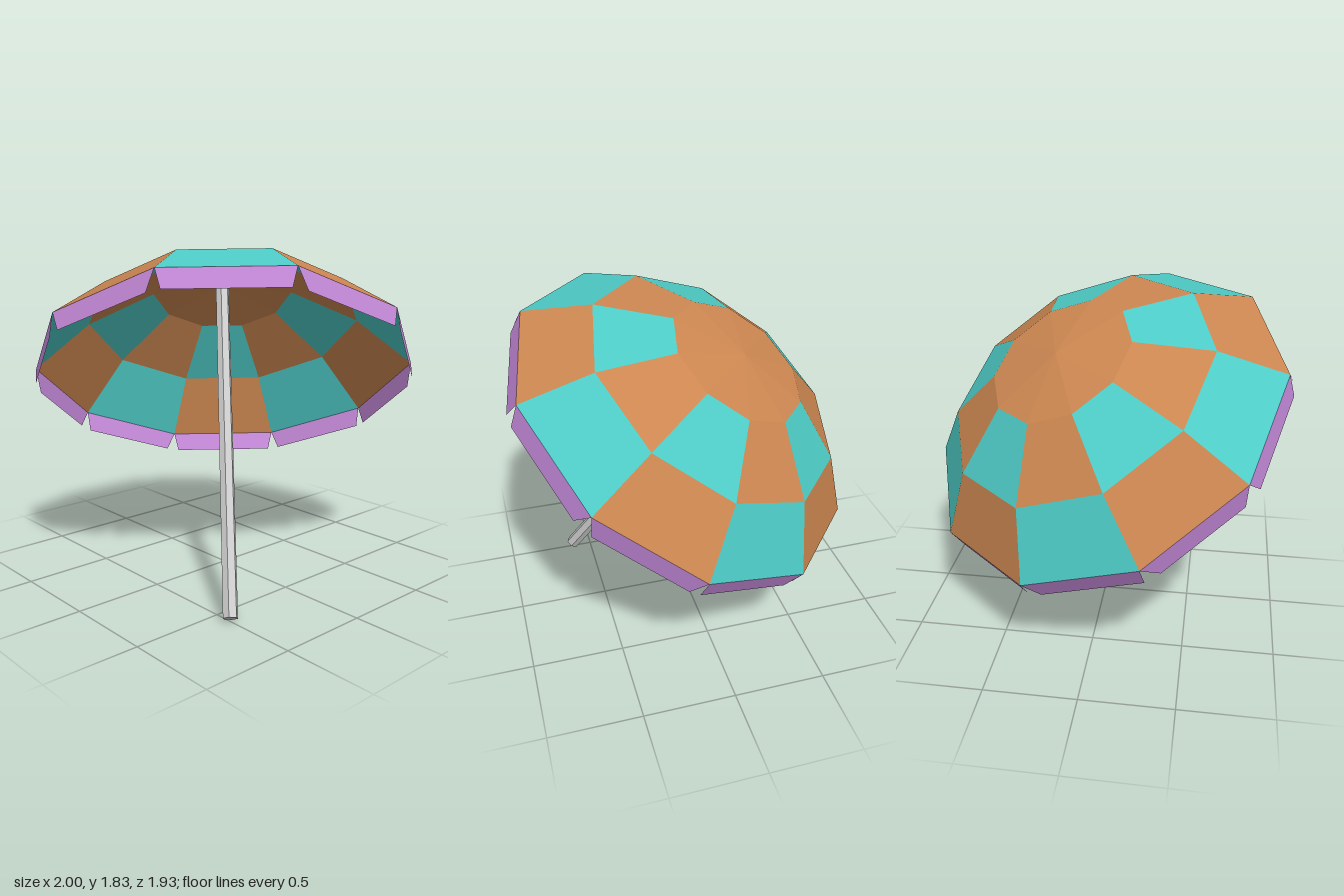
import * as THREE from 'three';

const SIDES = 10;
// canopy rings from rim to crown: [radius, height along the pole axis]
const RINGS = [[1.06, 0], [0.775, 0.283], [0.405, 0.48], [0, 0.535]];
const FLAP_DROP = 0.116;
// how far each flap's lower corners are cut in: [start, end]
const FLAP_CUTS = [
  [0.055, 0.03], [0.045, 0.057], [0.065, 0.04], [0.025, 0.045], [0.028, 0.027],
  [0.055, 0.025], [0.07, 0.07], [0.05, 0.045], [0.043, 0.05], [0.028, 0.03],
];

const material = (color) =>
  new THREE.MeshStandardMaterial({ color, flatShading: true, side: THREE.DoubleSide });

// point on a canopy ring, counter-clockwise seen from above
function ringPoint(ring, i) {
  const [r, h] = RINGS[ring];
  const a = (i * Math.PI * 2) / SIDES;
  return new THREE.Vector3(r * Math.cos(a), h, -r * Math.sin(a));
}

// mesh from quads (four corners) and triangles (three corners)
function panelMesh(name, faces, color) {
  const points = faces.flatMap(([a, b, c, d]) => (d ? [a, b, c, a, c, d] : [a, b, c]));
  const geometry = new THREE.BufferGeometry().setFromPoints(points);
  geometry.computeVertexNormals();
  const mesh = new THREE.Mesh(geometry, material(color));
  mesh.name = name;
  return mesh;
}

export function createModel() {
  const model = new THREE.Group();
  model.name = 'parasol';
  const parasol = new THREE.Group();
  parasol.name = 'tiltedParasol';
  model.add(parasol);

  // checkered canopy, plain crown and hanging flaps
  const orange = [], teal = [], flaps = [];
  for (let i = 0; i < SIDES; i++) {
    for (let ring = 0; ring < 2; ring++) {
      const quad = [ringPoint(ring, i), ringPoint(ring, i + 1),
        ringPoint(ring + 1, i + 1), ringPoint(ring + 1, i)];
      ((i + ring) % 2 === 0 ? orange : teal).push(quad);
    }
    orange.push([ringPoint(2, i), ringPoint(2, i + 1), ringPoint(3, 0)]);

    const a = ringPoint(0, i), b = ringPoint(0, i + 1);
    const along = b.clone().sub(a).normalize();
    const down = new THREE.Vector3(0, -FLAP_DROP, 0);
    const [start, end] = FLAP_CUTS[i];
    const lowA = a.clone().add(down).addScaledVector(along, start);
    const lowB = b.clone().add(down).addScaledVector(along, -end);
    flaps.push([lowA, lowB, b, a]);
  }
  parasol.add(panelMesh('orangePanels', orange, 0xcb8650));
  parasol.add(panelMesh('tealPanels', teal, 0x4ecbc6));
  parasol.add(panelMesh('rimFlaps', flaps, 0xbf85d3));

  // hexagonal pole up to the crown
  const bottom = -1.405, top = 0.515;
  const pole = new THREE.Mesh(
    new THREE.CylinderGeometry(0.04, 0.04, top - bottom, 6),
    new THREE.MeshStandardMaterial({ color: 0xcccccc, flatShading: true }));
  pole.name = 'pole';
  pole.position.y = (top + bottom) / 2;
  parasol.add(pole);

  // lean the whole parasol, with its first rim corner turned into place
  const up = new THREE.Vector3(0.375, 0.81, -0.451).normalize();
  const first = new THREE.Vector3(-0.288, 0.59, 0.822);
  first.addScaledVector(up, -first.dot(up)).normalize();
  const side = new THREE.Vector3().crossVectors(first, up);
  parasol.quaternion.setFromRotationMatrix(new THREE.Matrix4().makeBasis(first, up, side));
  parasol.position.set(0.018, 1.162, -0.022);
  return model;
}
